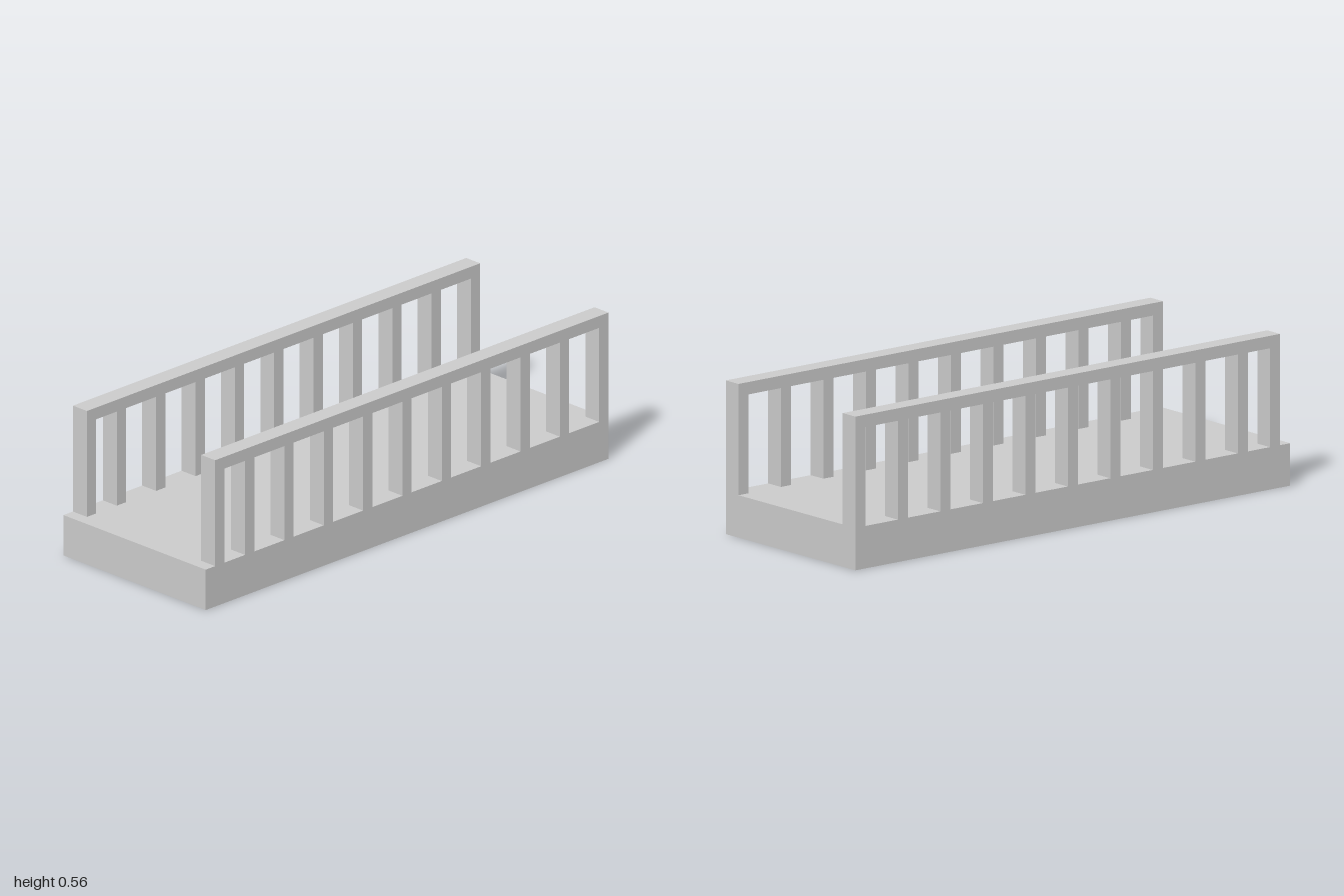
import * as THREE from 'three';

const WIDTH = 0.714, DECK_TOP = 0.154;
const RAIL_TOP = 0.558, RAIL_BOTTOM = 0.513, RAIL_WIDTH = 0.07;
const POST_DEPTH = 0.046, POST_SPACING = 0.1954;
const BACK = -1, RAIL_FRONT = 0.953;

const material = new THREE.MeshStandardMaterial({ color: 0xcccccc, flatShading: true });

// Comb-shaped side profile (z, y): a top rail with posts down to the deck
function railingGeometry() {
  const starts = Array.from({ length: 10 }, (_, i) => BACK + i * POST_SPACING);
  starts.push(RAIL_FRONT - POST_DEPTH); // the front bay is narrower
  const shape = new THREE.Shape();
  shape.moveTo(BACK, RAIL_TOP);
  starts.forEach((z, i) => {
    if (i > 0) shape.lineTo(z, RAIL_BOTTOM);
    shape.lineTo(z, DECK_TOP);
    shape.lineTo(z + POST_DEPTH, DECK_TOP);
    if (i < starts.length - 1) shape.lineTo(z + POST_DEPTH, RAIL_BOTTOM);
  });
  shape.lineTo(RAIL_FRONT, RAIL_TOP);
  shape.closePath();
  const geometry = new THREE.ExtrudeGeometry(shape, { depth: RAIL_WIDTH, bevelEnabled: false });
  geometry.translate(0, 0, -RAIL_WIDTH / 2);
  geometry.rotateY(-Math.PI / 2); // profile z runs along the model's z
  return geometry;
}

export function createModel() {
  const model = new THREE.Group();
  model.name = 'bridge';

  // Solid deck slab
  const deck = new THREE.Mesh(new THREE.BoxGeometry(WIDTH, DECK_TOP, 2), material);
  deck.name = 'deck';
  deck.position.y = DECK_TOP / 2;
  model.add(deck);

  // Matching railings flush with the deck's long edges
  const geometry = railingGeometry();
  for (const [name, side] of [['leftRailing', 1], ['rightRailing', -1]]) {
    const railing = new THREE.Mesh(geometry, material);
    railing.name = name;
    railing.position.x = side * (WIDTH - RAIL_WIDTH) / 2;
    model.add(railing);
  }
  return model;
}
